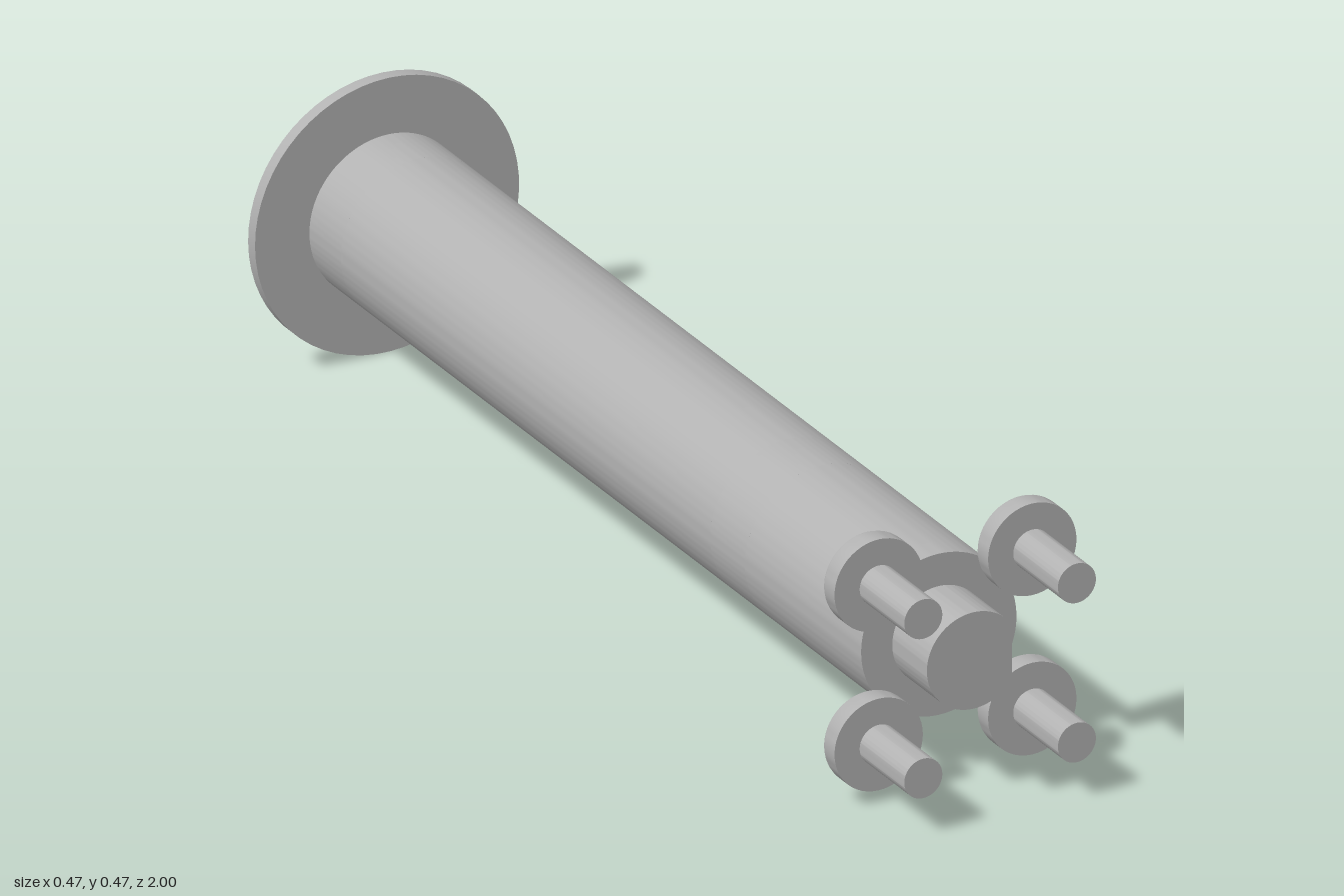
import * as THREE from 'three';
import { toCreasedNormals } from 'three/addons/utils/BufferGeometryUtils.js';

const AXIS_Y = 0.233;

export function createModel() {
  const model = new THREE.Group();
  model.name = 'pinAssembly';
  const steel = new THREE.MeshStandardMaterial({ color: 0xb2b2b2 });
  steel.name = 'steelGrey';

  function add(parent, name, geometry) {
    const mesh = new THREE.Mesh(geometry, steel);
    mesh.name = name;
    parent.add(mesh);
    return mesh;
  }

  // Extrudes a profile from z0 to z1, smooth along curves and sharp at edges
  function extrude(shape, z0, z1, segments) {
    const geo = new THREE.ExtrudeGeometry(shape, {
      depth: z1 - z0, bevelEnabled: false, curveSegments: segments,
    });
    geo.translate(0, 0, z0);
    return toCreasedNormals(geo, 0.4);
  }

  // Round bar, optionally with a flat milled on its +x side
  function bar(r, z0, z1, flatX = r) {
    const a = Math.acos(flatX / r);
    const shape = new THREE.Shape();
    shape.absarc(0, 0, r, a, Math.PI * 2 - a, false);
    return extrude(shape, z0, z1, 64);
  }

  // Shaft: round lengths alternating with flats, then the retaining groove
  const shaft = new THREE.Group();
  shaft.name = 'shaft';
  shaft.position.y = AXIS_Y;
  model.add(shaft);
  const R = 0.137, FLAT = 0.124;
  add(shaft, 'frontLength', bar(R, 0.435, 0.805));
  add(shaft, 'frontFlat', bar(R, 0.325, 0.435, FLAT));
  add(shaft, 'mainLength', bar(R, -0.85, 0.325));
  add(shaft, 'rearFlat', bar(R, -0.95, -0.85, FLAT));
  add(shaft, 'groove', bar(0.1, -0.976, -0.95));
  add(shaft, 'endCap', bar(R, -1, -0.976));
  add(shaft, 'spigot', bar(0.082, 0.805, 0.915, 0.068));

  // Slotted retaining disc seated in the groove
  const outer = 0.233, inner = 0.115, slotTop = -0.033, slotBottom = -0.108;
  const disc = new THREE.Shape();
  disc.absarc(0, 0, outer, Math.asin(slotTop / outer),
    Math.PI * 2 + Math.asin(slotBottom / outer), false);
  disc.absarc(0, 0, inner, Math.PI * 2 + Math.asin(slotBottom / inner),
    Math.asin(slotTop / inner), true);
  add(model, 'retainingDisc', extrude(disc, -0.972, -0.95, 28)).position.y = AXIS_Y;

  // Four screws: head with rounded rear rim, shank pointing forward
  const profile = [new THREE.Vector2(0, 0.813)];
  for (let i = 0; i <= 6; i++) {
    const a = (i / 6) * Math.PI / 2;
    profile.push(new THREE.Vector2(0.062 + 0.016 * Math.sin(a), 0.829 - 0.016 * Math.cos(a)));
  }
  profile.push(new THREE.Vector2(0.078, 0.858), new THREE.Vector2(0, 0.858));
  const headGeo = toCreasedNormals(
    new THREE.LatheGeometry(profile, 48).rotateX(Math.PI / 2), 0.5);
  const shankGeo = bar(0.0335, 0.858, 1);
  for (const sx of [-1, 1]) {
    for (const sy of [-1, 1]) {
      const screw = new THREE.Group();
      screw.name = (sy > 0 ? 'upper' : 'lower') + (sx > 0 ? 'Left' : 'Right') + 'Screw';
      screw.position.set(sx * 0.1355, AXIS_Y + sy * 0.1355, 0);
      add(screw, 'head', headGeo);
      add(screw, 'shank', shankGeo);
      model.add(screw);
    }
  }
  return model;
}
